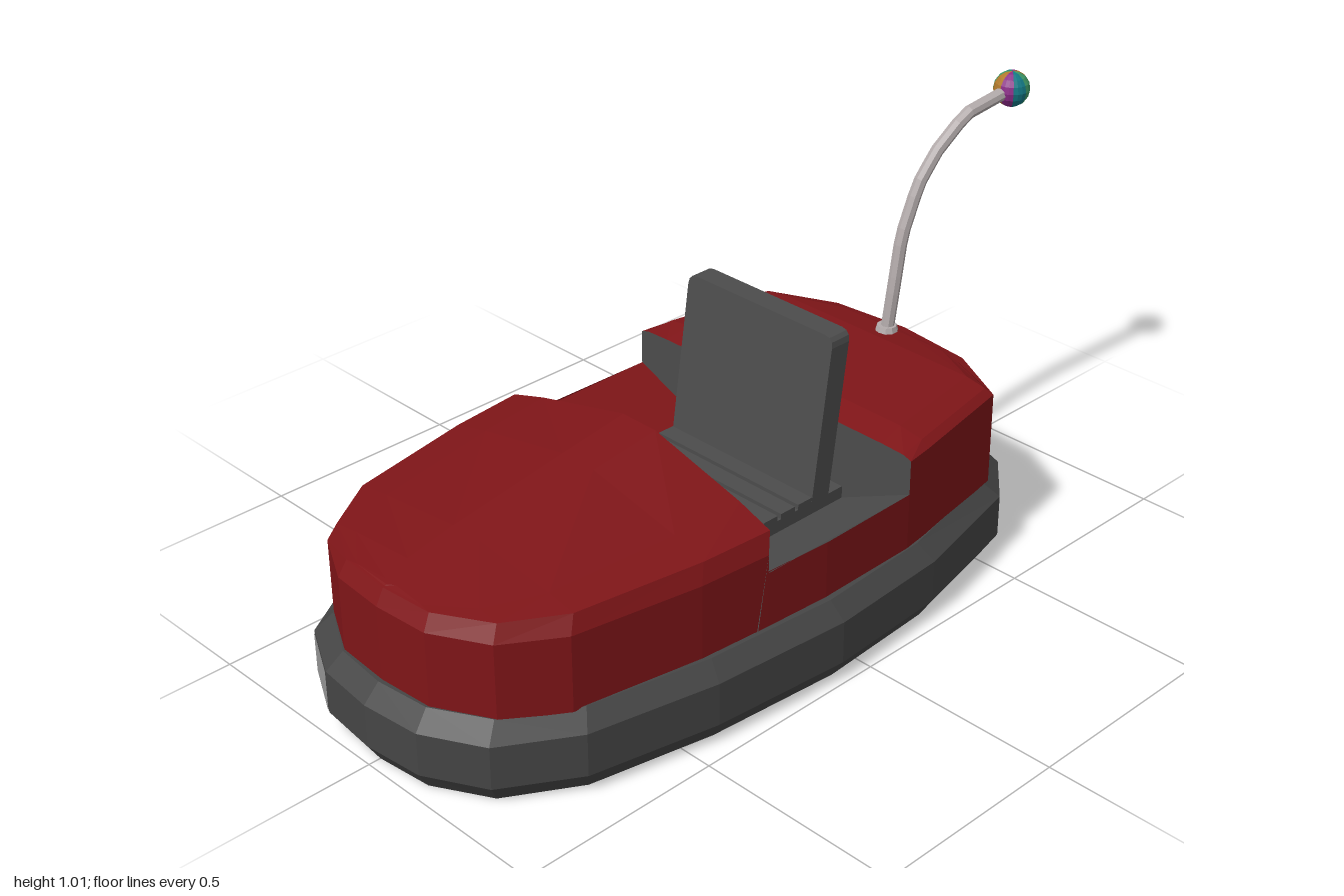
import * as THREE from 'three';

const paint = (color) => new THREE.MeshStandardMaterial({ color, flatShading: true, side: THREE.DoubleSide });
const red = paint(0x7f1518), rubber = paint(0x454545), grey = paint(0x4c4c4c);
const steel = paint(0xb3abab), pale = paint(0x999999);

// Half outlines [x, z] from the nose to the tail
const bumperHalf = [[0, 1], [0.15, 0.985], [0.29, 0.91], [0.395, 0.74], [0.46, 0.43], [0.49, 0.08],
  [0.47, -0.24], [0.395, -0.56], [0.29, -0.68], [0.15, -0.73], [0, -0.733]];
const bodyHalf = [[0, 0.95], [0.14, 0.94], [0.27, 0.87], [0.355, 0.74], [0.41, 0.43], [0.425, 0.25],
  [0.435, 0.08], [0.43, -0.19], [0.42, -0.26], [0.365, -0.55], [0.2, -0.635], [0, -0.655]];

// Surface through rows of [x, y, z] points
function loft(rows, closed = false) {
  const n = rows[0].length, index = [];
  for (let r = 0; r < rows.length - 1; r++) {
    for (let i = 0; i < (closed ? n : n - 1); i++) {
      const j = (i + 1) % n, a = r * n + i, b = r * n + j;
      index.push(a, b, a + n, b, b + n, a + n);
    }
  }
  const g = new THREE.BufferGeometry();
  g.setAttribute('position', new THREE.Float32BufferAttribute(rows.flat(2), 3));
  g.setIndex(index);
  g.computeVertexNormals();
  return g;
}

const mirrored = (half) => [...half.slice(1).reverse().map(([x, z]) => [-x, z]), ...half];
const wall = (path, y0, y1) => loft([y0, y1].map((y) => path.map(([x, z]) => [x, y, z])));

export function createModel() {
  const model = new THREE.Group();
  const add = (name, geometry, material, parent = model) => {
    const mesh = new THREE.Mesh(geometry, material);
    mesh.name = name;
    parent.add(mesh);
    return mesh;
  };

  // Bumper: closed rings from the centre of the underside to the centre of the floor
  const ring = mirrored(bumperHalf).slice(1);
  const bumperRow = (inset, y) => ring.map(([x, z]) =>
    [x * (1 - inset / 0.49), y, 0.135 + (z - 0.135) * (1 - inset / 0.866)]);
  add('bumper', loft([bumperRow(0.49, 0.003), bumperRow(0.03, 0.003), bumperRow(0, 0.05), bumperRow(0, 0.155),
    bumperRow(0.04, 0.195)], true), rubber);
  add('floor', loft([bumperRow(0.04, 0.195), bumperRow(0.49, 0.195)], true), rubber);
  add('bumperPatch', loft([0.05, 0.155].map((y) => [[-0.29, y, 0.912], [-0.15, y, 0.987]])), pale);

  // Body walls
  const tail = bodyHalf.slice(7).reverse();
  add('frontWall', wall(mirrored(bodyHalf.slice(0, 6)), 0.19, 0.375), red);
  add('rearWall', wall(mirrored(tail), 0.19, 0.42), red);
  for (const s of [-1, 1]) {
    add(s > 0 ? 'leftSill' : 'rightSill',
      wall(bodyHalf.slice(5, 8).map(([x, z]) => [s * x, z]), 0.19, 0.335), red);
  }

  // Hood: bevelled rim rising to a ridge at the cockpit
  const hoodRows = bodyHalf.slice(0, 6).map(([w, z]) => {
    const t = (0.95 - z) / 0.7;
    const half = [[w, 0.375, z], [w * 0.96, 0.412 + 0.008 * t, z - 0.02],
      [w * 0.74, 0.413 + 0.034 * t, z - 0.025], [w * 0.12, 0.415 + 0.095 * t, z - 0.03]];
    return [...half.map(([x, y, d]) => [-x, y, d]), ...half.reverse()];
  });
  add('hood', loft(hoodRows), red);
  const lip = hoodRows[5], dashTop = lip.map(([x]) => [x, 0.375, Math.abs(x) > 0.4 ? 0.25 : 0.2]);
  add('hoodLip', loft([lip, dashTop]), red);
  add('dashboard', loft([dashTop, dashTop.map(([x, , z]) => [x, 0.195, z + 0.03])]), grey);

  // Rear deck, nearly flat with a soft rim
  const deckRows = bodyHalf.slice(7).map(([w, z], i) => {
    const d = [0, 0, 0.01, 0.025, 0.03][i], top = [0.43, 0.444, 0.443, 0.432, 0.428][i];
    const half = [[w, 0.42, z], [w * 0.95, (top + 0.425) / 2, z + d], [w * 0.8, top, z + d], [w * 0.3, top + 0.001, z + d]];
    return [...half.map(([x, y, k]) => [-x, y, k]), ...half.reverse()];
  });
  add('rearDeck', loft(deckRows), red);
  add('bulkhead', loft([deckRows[0], deckRows[0].map(([x, , z]) => [x, 0.195, z])]), grey);

  // Sloping cockpit panels
  add('leftPanel', loft([[[0.43, 0.335, 0.25], [0.43, 0.335, -0.19]], [[0.23, 0.24, 0.23], [0.23, 0.24, -0.19]]]), grey);
  add('rightPanel', loft([[[-0.43, 0.335, 0.09], [-0.43, 0.335, -0.19]], [[-0.22, 0.25, 0.14], [-0.22, 0.25, -0.19]]]), red);
  add('rightFrontPanel', loft([[[-0.425, 0.335, 0.24], [-0.43, 0.335, 0.09]],
    [[-0.22, 0.24, 0.23], [-0.22, 0.25, 0.14]]]), grey);

  // Ribbed seat
  const seat = new THREE.Group();
  seat.name = 'seat';
  model.add(seat);
  add('seatBase', new THREE.BoxGeometry(0.45, 0.075, 0.42).translate(0.005, 0.2325, 0.02), grey, seat);
  for (let i = 0; i < 6; i++) {
    add('seatRib', new THREE.BoxGeometry(0.45, 0.014, 0.044).translate(0.005, 0.276, -0.068 + i * 0.055), grey, seat);
  }

  // Leaning backrest with rounded top corners
  const back = new THREE.Shape();
  back.moveTo(-0.22, 0.24).lineTo(0.23, 0.24).lineTo(0.23, 0.64).quadraticCurveTo(0.23, 0.665, 0.205, 0.665);
  back.lineTo(-0.195, 0.665).quadraticCurveTo(-0.22, 0.665, -0.22, 0.64);
  const backGeo = new THREE.ExtrudeGeometry(back, { depth: 0.055, bevelEnabled: false, curveSegments: 3 });
  const p = backGeo.attributes.position;
  for (let i = 0; i < p.count; i++) p.setZ(i, p.getZ(i) - 0.155 - (p.getY(i) - 0.34) * 0.145);
  backGeo.computeVertexNormals();
  add('backrest', backGeo, grey, seat);

  // Curved pole with a base collar
  const path = new THREE.CurvePath();
  const pts = [[0.003, 0.42, -0.585], [0.01, 0.56, -0.6], [0.01, 0.68, -0.62], [0.016, 0.8, -0.665], [0.024, 0.87, -0.715],
    [0.036, 0.942, -0.8], [0.045, 0.962, -0.93]].map((v) => new THREE.Vector3(...v));
  for (let i = 1; i < pts.length; i++) path.add(new THREE.LineCurve3(pts[i - 1], pts[i]));
  add('pole', new THREE.TubeGeometry(path, 18, 0.016, 8), steel);
  add('poleCollar', new THREE.CylinderGeometry(0.024, 0.028, 0.014, 10).translate(0.003, 0.447, -0.587), steel);

  // Striped ball
  const ball = new THREE.Group();
  ball.name = 'ball';
  ball.position.set(0.045, 0.965, -0.956);
  model.add(ball);
  const stripes = [0x3f9a68, 0xb07a2c, 0x8a2a86, 0x147a86].map(paint);
  for (let i = 0; i < 8; i++) {
    add('ballStripe', new THREE.SphereGeometry(0.044, 2, 8, i * Math.PI / 4, Math.PI / 4), stripes[i % 4], ball);
  }
  return model;
}
